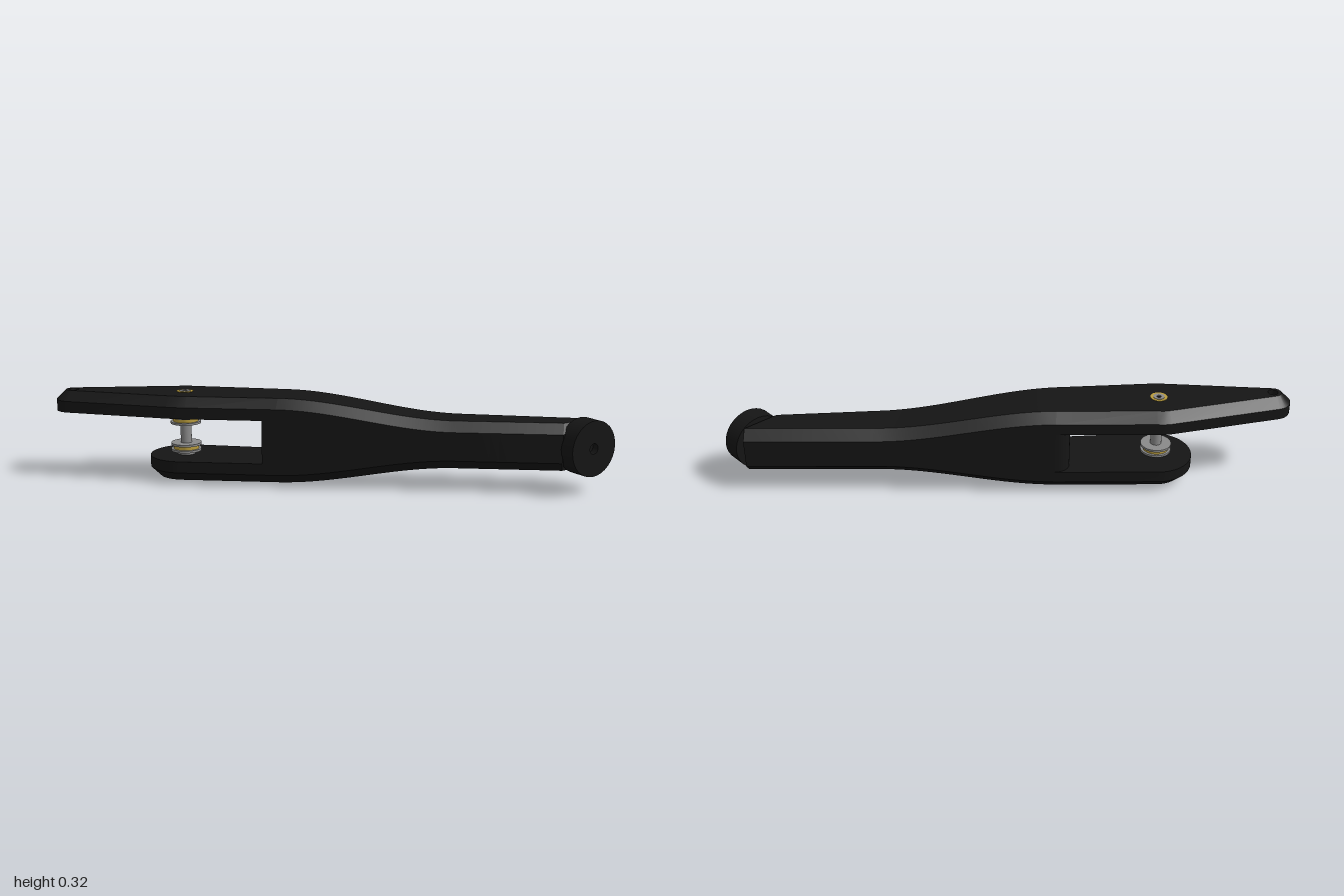
import * as THREE from 'three';
import { toCreasedNormals } from 'three/addons/utils/BufferGeometryUtils.js';

const V = (x, y) => new THREE.Vector2(x, y);
const black = new THREE.MeshStandardMaterial({ color: 0x151515 });
const steel = new THREE.MeshStandardMaterial({ color: 0x8a8a8a });
const gold = new THREE.MeshStandardMaterial({ color: 0xb89b3c });

const MID = 0.165, CHAMFER = 0.034, THICK = 0.075, JOIN = -0.17;
const PIVOT = { x: -0.53, z: 0.03 };

// Plan edges of the handle
const frontZ = x => 0.16 - 0.1194 * (x + 0.52);
const backZ = x => -0.1 - 0.0437 * (x + 0.54);
const halfHeight = x => 0.153 - 0.068 * THREE.MathUtils.smoothstep(x, JOIN, 0.45);

function arc(cx, cz, r, from, to, n) {
  return Array.from({ length: n + 1 }, (_, i) => {
    const a = THREE.MathUtils.degToRad(from + (to - from) * i / n);
    return V(cx + r * Math.cos(a), cz + r * Math.sin(a));
  });
}

function triangles(list) {
  const g = new THREE.BufferGeometry();
  g.setAttribute('position', new THREE.Float32BufferAttribute(list.flat(), 3));
  return toCreasedNormals(g, 0.5);
}

// Flat arm with one chamfered face, built upward from its inner face
function armGeometry(plan, up, hole) {
  const outer = plan.map(p => V(p.x, up ? -p.y : p.y));
  if (THREE.ShapeUtils.isClockWise(outer)) outer.reverse();
  const n = outer.length;
  const inner = outer.map((p, i) => {
    if (p.x === JOIN) return V(p.x, p.y - Math.sign(p.y) * CHAMFER);
    const d1 = p.clone().sub(outer[(i + n - 1) % n]).normalize();
    const d2 = outer[(i + 1) % n].clone().sub(p).normalize();
    const k = CHAMFER / (1 + d1.dot(d2));
    return V(p.x - (d1.y + d2.y) * k, p.y + (d1.x + d2.x) * k);
  });
  const holes = hole ? [hole.map(p => V(p.x, up ? -p.y : p.y))] : [];
  holes.forEach(h => { if (!THREE.ShapeUtils.isClockWise(h)) h.reverse(); });
  const out = [];
  const at = (p, h) => [p.x, p.y, h];
  const wall = (a, ha, b, hb) => a.forEach((p, i) => {
    const j = (i + 1) % a.length;
    out.push(at(p, ha), at(a[j], ha), at(b[j], hb), at(p, ha), at(b[j], hb), at(b[i], hb));
  });
  const cap = (contour, h, flip) => {
    const all = [contour, ...holes].flat();
    for (const [a, b, c] of THREE.ShapeUtils.triangulateShape(contour, holes))
      out.push(...(flip ? [a, c, b] : [a, b, c]).map(i => at(all[i], h)));
  };
  cap(outer, 0, true);
  wall(outer, 0, outer, THICK - CHAMFER);
  wall(outer, THICK - CHAMFER, inner, THICK);
  cap(inner, THICK, false);
  holes.forEach(h => wall(h, 0, h, THICK));
  return triangles(out).rotateX(up ? -Math.PI / 2 : Math.PI / 2);
}

// Eight-sided handle lofted along x, ending on a slant
function handleGeometry() {
  const rings = [], steps = 32, out = [];
  for (let i = 0; i <= steps; i++) {
    const xf = JOIN + 0.99 * i / steps, xb = JOIN + 1.085 * i / steps;
    const f = frontZ(xf), b = backZ(xb), hf = halfHeight(xf), hb = halfHeight(xb), c = CHAMFER;
    rings.push([
      [xb, MID + hb, b + c], [xf, MID + hf, f - c], [xf, MID + hf - c, f], [xf, MID - hf + c, f],
      [xf, MID - hf, f - c], [xb, MID - hb, b + c], [xb, MID - hb + c, b], [xb, MID + hb - c, b]]);
  }
  for (let s = 0; s < steps; s++) {
    const p = rings[s], q = rings[s + 1];
    for (let i = 0; i < 8; i++) {
      const j = (i + 1) % 8;
      out.push(p[i], p[j], q[j], p[i], q[j], q[i]);
    }
  }
  for (let i = 1; i < 7; i++) {
    const p = rings[0], q = rings[steps];
    out.push(p[0], p[i + 1], p[i], q[0], q[i], q[i + 1]);
  }
  return triangles(out);
}

// Turned ring around the pivot axis
function ringGeometry(rIn, rOut, y0, y1) {
  const pts = [V(rIn, y0), V(rOut, y0), V(rOut, y1), V(rIn, y1), V(rIn, y0)];
  return toCreasedNormals(new THREE.LatheGeometry(pts, 32), 0.5);
}

export function createModel() {
  const model = new THREE.Group();
  const add = (name, geometry, material, parent = model) => {
    const mesh = new THREE.Mesh(geometry, material);
    mesh.name = name;
    parent.add(mesh);
    return mesh;
  };

  add('handle', handleGeometry(), black);

  // Long upper arm with an eyelet near its tip
  const upperPlan = [
    V(JOIN, frontZ(JOIN)), V(-0.49, frontZ(-0.49)), V(-0.52, 0.159), V(-0.56, 0.159),
    ...arc(-0.938, 0.08, 0.062, 92, 253, 14),
    V(-0.57, -0.096), V(-0.545, -0.101), V(-0.52, backZ(-0.52)), V(JOIN, backZ(JOIN))];
  const eyelet = arc(-0.936, 0.08, 0.018, 0, 345, 23);
  add('upperArm', armGeometry(upperPlan, true, eyelet), black).position.y = 0.243;

  // Short lower arm, rounded about the pivot
  const lowerPlan = [
    V(JOIN, frontZ(JOIN)), ...arc(PIVOT.x, PIVOT.z, 0.13, 83, 267.5, 20), V(JOIN, backZ(JOIN))];
  add('lowerArm', armGeometry(lowerPlan, false), black).position.y = 0.087;

  // Web closing the slot, rounded at its back corner
  const web = new THREE.Shape([
    V(JOIN, -frontZ(JOIN)), V(JOIN, -backZ(JOIN)),
    ...arc(JOIN, 0.064, 0.05, 90, 180, 8), V(-0.22, -frontZ(-0.22))]);
  const webGeometry = new THREE.ExtrudeGeometry(web, { depth: 0.156, bevelEnabled: false });
  add('slotWeb', toCreasedNormals(webGeometry.rotateX(-Math.PI / 2), 0.5), black).position.y = 0.087;

  // Round end boss facing diagonally, with a blind hole
  const bossProfile = [V(0, -0.07), V(0.1, -0.07), V(0.1, 0), V(0.019, 0), V(0.019, -0.025), V(0, -0.025)];
  const boss = add('endBoss', toCreasedNormals(new THREE.LatheGeometry(bossProfile, 32), 0.5), black);
  boss.position.set(0.925, MID, -0.03);
  boss.quaternion.setFromUnitVectors(new THREE.Vector3(0, 1, 0), new THREE.Vector3(1, 0, 1).normalize());

  // Pivot bolt with two bearing stacks
  const pivot = new THREE.Group();
  pivot.name = 'pivot';
  pivot.position.set(PIVOT.x, 0, PIVOT.z);
  model.add(pivot);
  add('shaft', new THREE.CylinderGeometry(0.02, 0.02, 0.302, 24).translate(0, 0.159, 0), steel, pivot);
  add('shaftTip', ringGeometry(0.008, 0.02, 0.305, 0.321), steel, pivot);
  add('topBushing', ringGeometry(0.02, 0.03, 0.3, 0.3195), gold, pivot);
  for (const side of [-1, 1]) {
    const stack = (name, r, near, far, material) => {
      const a = MID + side * near, b = MID + side * far;
      add(name, ringGeometry(0.018, r, Math.min(a, b), Math.max(a, b)), material, pivot);
    };
    stack('innerWasher', 0.055, 0.036, 0.044, steel);
    stack('bearing', 0.046, 0.044, 0.064, gold);
    stack('outerWasher', 0.055, 0.058, 0.066, steel);
    stack('spacer', 0.032, 0.066, 0.079, steel);
  }

  // Bolt head with a hexagonal socket
  const head = new THREE.Shape(arc(0, 0, 0.035, 0, 350, 35));
  head.holes.push(new THREE.Path(arc(0, 0, 0.014, 0, 300, 5)));
  const headGeometry = new THREE.ExtrudeGeometry(head, {
    depth: 0.007, bevelThickness: 0.003, bevelSize: 0.003, bevelSegments: 2 });
  add('boltHead', toCreasedNormals(headGeometry.rotateX(-Math.PI / 2), 0.5), steel, pivot).position.y = 0.003;

  return model;
}
